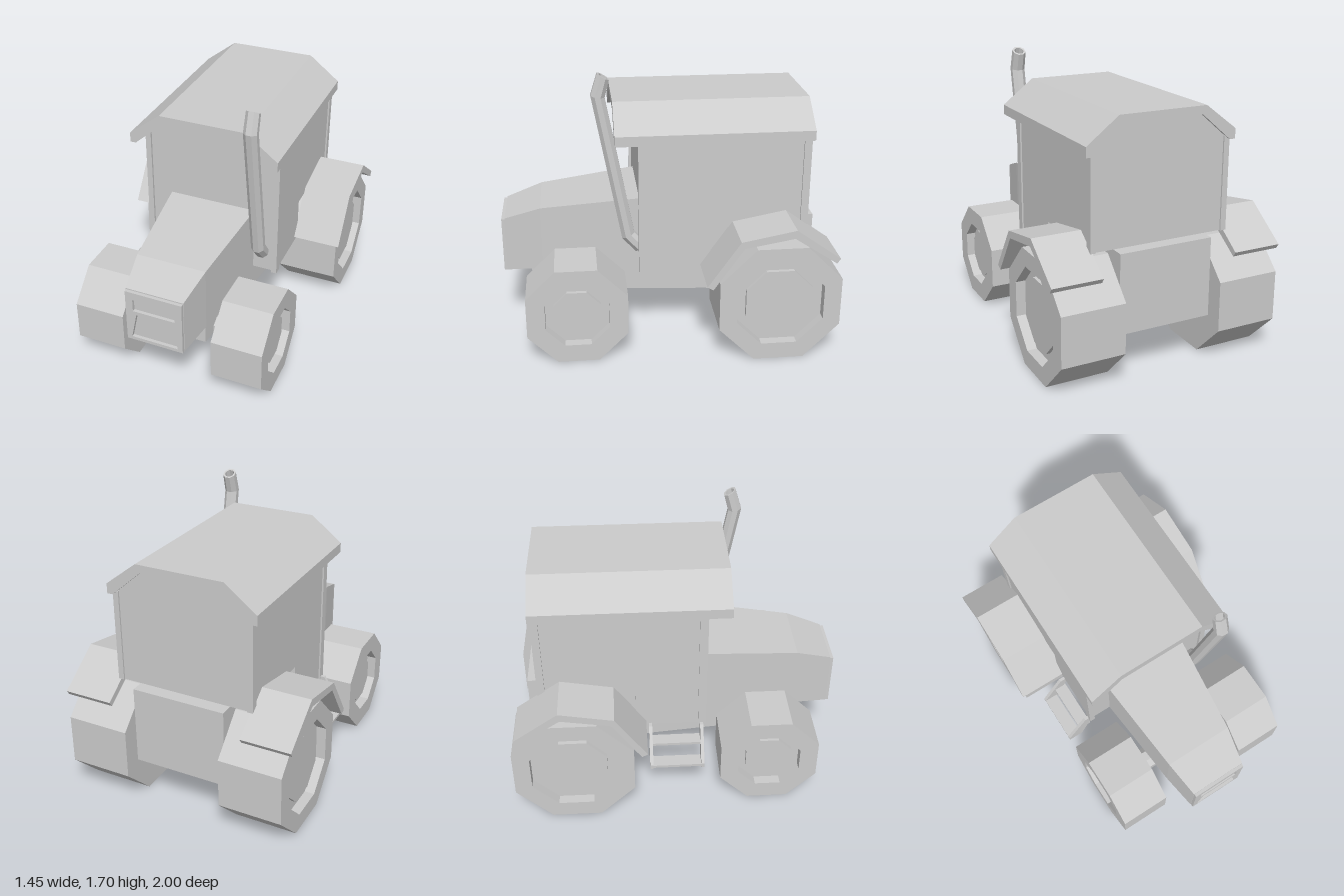
import * as THREE from 'three';

const mat = new THREE.MeshStandardMaterial({ color: 0xcccccc, flatShading: true, side: THREE.DoubleSide });

function add(parent, name, geometry, x = 0, y = 0, z = 0) {
  const mesh = new THREE.Mesh(geometry, mat);
  mesh.name = name;
  mesh.position.set(x, y, z);
  parent.add(mesh);
  return mesh;
}

// Box given by its limits on each axis
function box(parent, name, [x0, x1], [y0, y1], [z0, z1]) {
  return add(parent, name, new THREE.BoxGeometry(x1 - x0, y1 - y0, z1 - z0),
    (x0 + x1) / 2, (y0 + y1) / 2, (z0 + z1) / 2);
}

const shapeOf = pts => new THREE.Shape(pts.map(p => new THREE.Vector2(...p)));

function extrude(shape, depth) {
  return new THREE.ExtrudeGeometry(shape, { depth, bevelEnabled: false });
}

// Side profile in (z, y), extruded across x0..x1
function sideExtrude(pts, x0, x1) {
  return extrude(shapeOf(pts), x1 - x0).rotateY(-Math.PI / 2).translate(x1, 0, 0);
}

// Skin over a row of rings with equal corner counts, capped at both ends
function loft(rings) {
  const n = rings[0].length, index = [];
  for (let k = 0; k < rings.length - 1; k++) {
    for (let i = 0; i < n; i++) {
      const a = k * n + i, b = k * n + (i + 1) % n;
      index.push(a, b, b + n, a, b + n, a + n);
    }
  }
  const last = (rings.length - 1) * n;
  for (let i = 1; i < n - 1; i++) {
    index.push(0, i + 1, i, last, last + i, last + i + 1);
  }
  const g = new THREE.BufferGeometry();
  g.setAttribute('position', new THREE.Float32BufferAttribute(rings.flat(2), 3));
  g.setIndex(index);
  const flat = g.toNonIndexed();
  flat.computeVertexNormals();
  return flat;
}

// Rectangular section across the length
const section = (z, w, y0, y1) => [[-w, y0, z], [w, y0, z], [w, y1, z], [-w, y1, z]];

// Eight-sided wheel with a recessed rim; sizes are measured to the flats
function wheelGeometry(radius, rim, hub, width) {
  const k = 1 / Math.cos(Math.PI / 8);
  const profile = [
    [0, 0], [radius, 0], [radius, width], [rim, width], [rim, width - 0.06],
    [hub, width - 0.06], [hub, width - 0.035], [0, width - 0.035],
  ].map(([r, y]) => new THREE.Vector2(r * k, y));
  return new THREE.LatheGeometry(profile, 8, Math.PI / 8).rotateZ(-Math.PI / 2);
}

function axle(parent, name, y, z, r, length) {
  const g = new THREE.CylinderGeometry(r, r, length, 8, 1, false, Math.PI / 8).rotateZ(Math.PI / 2);
  return add(parent, name, g, 0, y, z);
}

export function createModel() {
  const model = new THREE.Group();
  model.name = 'tractor';

  // Hood with a front grille panel
  add(model, 'hood', loft([
    section(0.15, 0.277, 0.49, 0.907), section(0.76, 0.215, 0.44, 0.84), section(0.98, 0.178, 0.42, 0.767),
  ]));
  const panel = shapeOf([[-0.175, 0.42], [0.175, 0.42], [0.175, 0.76], [-0.175, 0.76]]);
  panel.holes.push(
    shapeOf([[-0.13, 0.63], [-0.13, 0.71], [0.13, 0.71], [0.13, 0.63]]),
    shapeOf([[-0.145, 0.44], [-0.11, 0.605], [0.11, 0.605], [0.145, 0.44]]));
  add(model, 'grillePanel', extrude(panel, 0.02), 0, 0, 0.98);

  // Tapered chassis and rear housing
  add(model, 'chassis', loft([section(-0.26, 0.285, 0.28, 0.5), section(0.72, 0.19, 0.28, 0.48)]));
  box(model, 'rearHousing', [-0.29, 0.29], [0.28, 0.76], [-0.905, -0.25]);

  // Cab
  const cab = new THREE.Group();
  cab.name = 'cab';
  model.add(cab);
  add(cab, 'cabUpper', extrude(shapeOf([
    [-0.425, 0.76], [0.425, 0.76], [0.425, 1.32], [0.25, 1.47], [-0.25, 1.47], [-0.425, 1.32],
  ]), 0.99), 0, 0, -0.825);
  box(cab, 'cabLower', [-0.425, 0.425], [0.49, 0.76], [-0.25, 0.165]);
  for (const s of [-1, 1]) {
    const x = [s * 0.4175 - 0.0175, s * 0.4175 + 0.0175];
    box(cab, 'frontPillar', x, [0.485, 1.32], [0.13, 0.18]);
    box(cab, 'rearPillar', x, [0.76, 1.32], [-0.835, -0.79]);
  }
  add(cab, 'roof', extrude(shapeOf([
    [-0.465, 1.3], [-0.465, 1.36], [-0.27, 1.51], [0.27, 1.51], [0.465, 1.36], [0.465, 1.3],
    [0.43, 1.3], [0.245, 1.46], [-0.245, 1.46], [-0.43, 1.3],
  ]), 1.16), 0, 0, -0.845);

  // Wheels and fenders on both sides
  const frontWheel = wheelGeometry(0.3, 0.19, 0.14, 0.315);
  const rearWheel = wheelGeometry(0.363, 0.26, 0.2, 0.385);
  const fenderProfile = [
    [-0.19, 0.52], [-0.38, 0.795], [-0.7, 0.855], [-0.965, 0.665],
    [-0.945, 0.635], [-0.69, 0.805], [-0.4, 0.755], [-0.225, 0.5],
  ];
  for (const s of [-1, 1]) {
    const turn = s > 0 ? 0 : Math.PI;
    add(model, 'frontWheel', frontWheel, s * 0.285, 0.3, 0.56).rotation.y = turn;
    add(model, 'rearWheel', rearWheel, s * 0.302, 0.363, -0.635).rotation.y = turn;
    add(model, 'fender', sideExtrude(fenderProfile, s > 0 ? 0.42 : -0.723, s > 0 ? 0.723 : -0.42));
  }
  axle(model, 'frontAxle', 0.3, 0.55, 0.075, 0.59);
  axle(model, 'rearAxle', 0.363, -0.635, 0.075, 0.62);

  // Bent exhaust pipe with an open top
  const ring = (z, y, tz, ty, r) => {
    const l = Math.hypot(tz, ty);
    return Array.from({ length: 8 }, (_, i) => {
      const a = (i + 0.5) * Math.PI / 4, c = r * Math.cos(a), v = r * Math.sin(a) / l;
      return [0.333 + c, y + v * tz, z - v * ty];
    });
  };
  add(model, 'exhaustPipe', loft([
    ring(0.165, 0.62, 1, 1, 0.044), ring(0.238, 0.7, 0.42, 0.9, 0.044),
    ring(0.4, 1.565, -0.15, 1, 0.044), ring(0.367, 1.68, -0.5, 0.87, 0.042),
    ring(0.367, 1.68, -0.5, 0.87, 0.03), ring(0.39, 1.6, -0.3, 1, 0.03),
  ]));

  // Boarding steps on one side
  const steps = new THREE.Group();
  steps.name = 'boardingSteps';
  model.add(steps);
  for (const z of [-0.165, 0.15]) {
    add(steps, 'stepBracket', extrude(shapeOf([
      [-0.595, 0.27], [-0.5, 0.27], [-0.4, 0.5], [-0.46, 0.5], [-0.595, 0.3],
    ]), 0.02), 0, 0, z - 0.01);
  }
  box(steps, 'lowerStep', [-0.595, -0.51], [0.28, 0.297], [-0.17, 0.16]);
  box(steps, 'upperStep', [-0.51, -0.43], [0.385, 0.402], [-0.17, 0.16]);

  return model;
}
